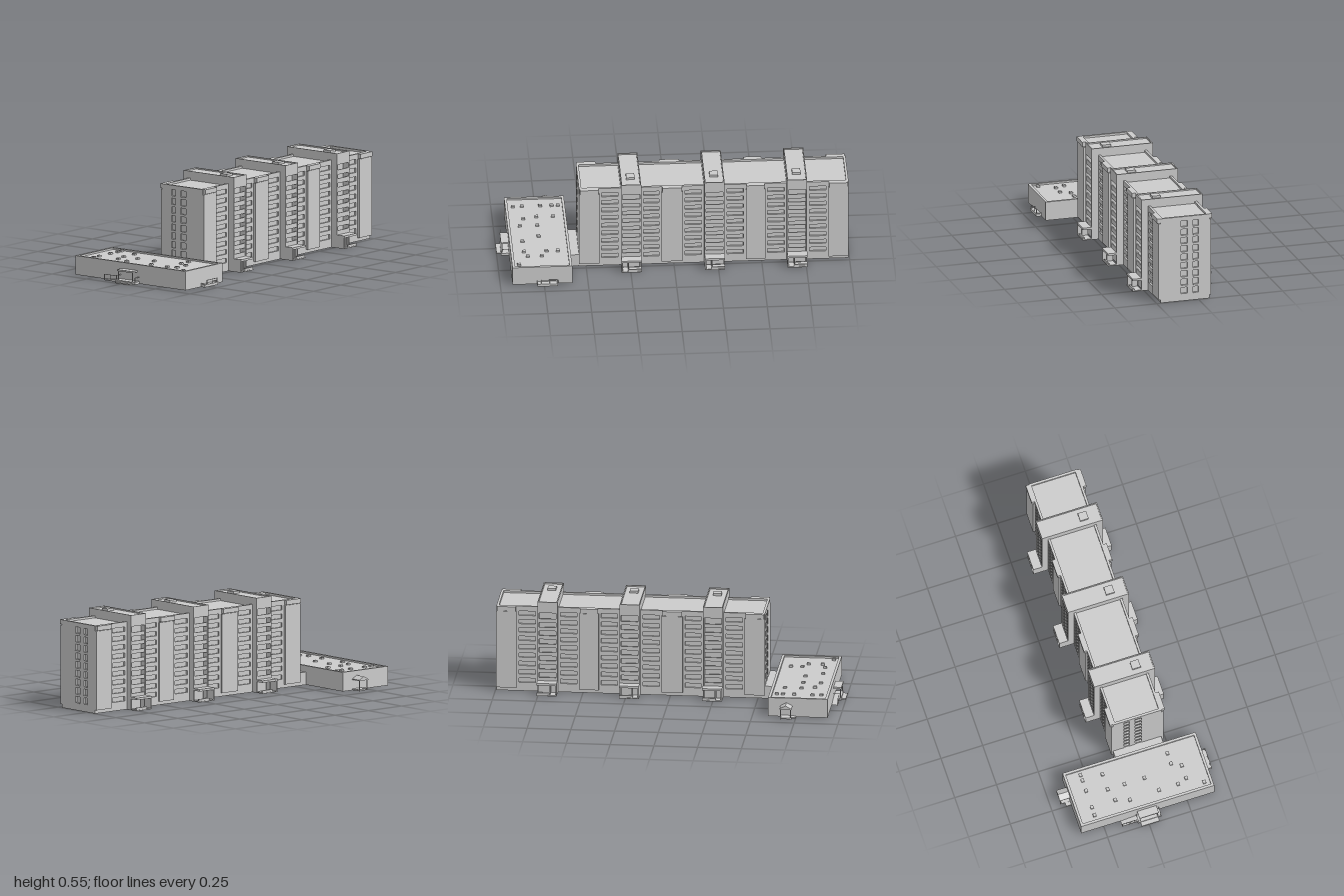
import * as THREE from 'three';

const mat = new THREE.MeshStandardMaterial({ color: 0xcccccc, side: THREE.DoubleSide, flatShading: true });
const FLOORS = 9, STEP = 0.05;

function add(parent, name, geo) {
  const m = new THREE.Mesh(geo, mat);
  m.name = name;
  parent.add(m);
  return m;
}

// Box given by its limits on each axis
function box(parent, name, x0, x1, y0, y1, z0, z1) {
  const m = add(parent, name, new THREE.BoxGeometry(x1 - x0, y1 - y0, z1 - z0));
  m.position.set((x0 + x1) / 2, (y0 + y1) / 2, (z0 + z1) / 2);
  return m;
}

function rect(target, x0, x1, y0, y1) {
  target.moveTo(x0, y0).lineTo(x1, y0).lineTo(x1, y1).lineTo(x0, y1).closePath();
  return target;
}

// Upright panel with rectangular openings, extruded along z
function panelGeo(x0, x1, y0, y1, holes, depth) {
  const s = rect(new THREE.Shape(), x0, x1, y0, y1);
  for (const h of holes) s.holes.push(rect(new THREE.Path(), ...h));
  return new THREE.ExtrudeGeometry(s, { depth, bevelEnabled: false });
}

// Raised rim around a flat roof
function parapet(parent, name, x0, x1, z0, z1, y0, y1, t) {
  const g = panelGeo(x0, x1, -z1, -z0, [[x0 + t, x1 - t, -z1 + t, -z0 - t]], y1 - y0);
  g.rotateX(-Math.PI / 2);
  add(parent, name, g).position.y = y0;
}

function windowColumn(x0, x1, y0, h) {
  return Array.from({ length: FLOORS }, (_, i) => [x0, x1, y0 + i * STEP, y0 + i * STEP + h]);
}

// Shared door porch: portal frame, dividing wall, slab and step
function entrance(parent, cx, zWall, dir) {
  const g = new THREE.Group();
  g.name = 'entrance';
  g.position.set(cx, 0, zWall);
  g.scale.z = dir;
  parent.add(g);
  box(g, 'entranceCanopy', -0.057, 0.057, 0.063, 0.075, 0, 0.052);
  box(g, 'entranceStep', -0.057, 0.057, 0, 0.006, 0, 0.052);
  box(g, 'entranceWall', -0.057, -0.05, 0, 0.065, 0, 0.05);
  box(g, 'entranceDivider', -0.02, -0.014, 0, 0.065, 0, 0.035);
  box(g, 'entranceParapet', -0.02, 0.057, 0, 0.018, 0.042, 0.05);
}

// Projecting bay with stacked balconies, running across the roof
function tower(parent, cx) {
  const g = new THREE.Group();
  g.name = 'balconyTower';
  parent.add(g);
  const x0 = cx - 0.057, x1 = cx + 0.057;
  box(g, 'towerRoof', x0, x1, 0.48, 0.537, -0.1, 0.265);
  parapet(g, 'towerParapet', x0, x1, -0.1, 0.265, 0.537, 0.545, 0.006);
  box(g, 'roofHatch', cx - 0.024, cx + 0.024, 0.53, 0.55, 0.14, 0.19);
  for (const [wall, dir, railH] of [[0.223, 1, 0.027], [-0.063, -1, 0.022]]) {
    const span = (a, b) => [wall + dir * a, wall + dir * b].sort((p, q) => p - q);
    const depth = dir > 0 ? 0.042 : 0.037;
    for (const x of [x0, x1 - 0.008]) box(g, 'towerFin', x, x + 0.008, 0, 0.485, ...span(0, depth));
    box(g, 'lobbyWall', x0, x1, 0, 0.07, ...span(0, depth - 0.012));
    for (let i = 1; i < FLOORS; i++) {
      const y = 0.022 + i * STEP;
      box(g, 'balconySlab', x0, x1, y, y + 0.006, ...span(0, depth - 0.004));
      box(g, 'balconyRail', x0, x1, y, y + railH, ...span(depth - 0.009, depth - 0.003));
    }
    entrance(g, cx, wall + dir * depth, dir);
  }
}

function mainBlock() {
  const g = new THREE.Group();
  g.name = 'apartmentBlock';
  const X0 = -0.54, X1 = 0.995;
  box(g, 'core', X0 + 0.01, X1 - 0.01, 0, 0.493, -0.055, 0.215);
  parapet(g, 'roofParapet', X0, X1, -0.065, 0.225, 0.49, 0.505, 0.014);

  // Long walls with recessed window bands
  const bays = [[-0.425, -0.303], [-0.188, -0.07], [0.05, 0.172], [0.288, 0.41], [0.52, 0.643], [0.758, 0.88]];
  const holes = bays.flatMap(([a, b]) => windowColumn(a + 0.014, b - 0.014, 0.05, 0.026));
  for (const z of [0.215, -0.065])
    add(g, 'longWall', panelGeo(X0, X1, 0, 0.495, holes, 0.01)).position.z = z;

  // End walls with two window columns
  const endHoles = [...windowColumn(0.065, 0.105, 0.044, 0.036), ...windowColumn(0, 0.032, 0.044, 0.036)];
  for (const x of [X0, X1 - 0.01]) {
    const geo = panelGeo(-0.06, 0.22, 0, 0.495, endHoles, 0.01).rotateY(-Math.PI / 2);
    add(g, 'endWall', geo).position.x = x + 0.01;
  }
  // Slim sills on the outer end wall
  for (let i = 0; i < FLOORS; i++)
    for (const [a, b] of [[0.065, 0.105], [0, 0.032]])
      box(g, 'endSill', X1 - 0.008, 1, 0.041 + i * STEP, 0.045 + i * STEP, a, b);

  // Blank pilasters with overhanging caps
  for (const [a, b] of [[-0.54, -0.425], [-0.07, 0.05], [0.41, 0.52], [0.88, 0.995]]) {
    box(g, 'pilasterFront', a, b, 0.02, 0.475, 0.22, 0.238);
    box(g, 'pilasterBack', a, b, 0.02, 0.475, -0.076, -0.06);
    box(g, 'pilasterCapFront', a + 0.004, b - 0.004, 0.478, 0.505, 0.22, 0.245);
    box(g, 'pilasterCapBack', a + 0.004, b - 0.004, 0.478, 0.505, -0.083, -0.06);
  }
  for (const cx of [-0.245, 0.23, 0.7]) tower(g, cx);
  return g;
}

function annex() {
  const g = new THREE.Group();
  g.name = 'annex';
  box(g, 'annexBody', -0.93, -0.59, 0, 0.1, -0.385, 0.412);
  parapet(g, 'annexParapet', -0.93, -0.59, -0.385, 0.412, 0.1, 0.11, 0.015);
  box(g, 'connector', -0.592, -0.535, 0, 0.073, -0.065, 0.222);

  // Roof vents
  const vents = [[-0.885, -0.29], [-0.835, -0.29], [-0.73, -0.29], [-0.665, -0.29], [-0.63, -0.29], [-0.76, -0.17],
    [-0.665, -0.17], [-0.835, -0.15], [-0.86, -0.07], [-0.76, -0.07], [-0.76, 0.05], [-0.855, 0.105],
    [-0.855, 0.22], [-0.725, 0.22], [-0.66, 0.22], [-0.835, 0.275], [-0.755, 0.275], [-0.89, 0.365]];
  for (const [x, z] of vents) box(g, 'roofVent', x - 0.01, x + 0.01, 0.098, 0.11, z - 0.009, z + 0.009);

  // Front landing with railing
  box(g, 'frontLanding', -0.79, -0.672, 0, 0.015, 0.41, 0.443);
  box(g, 'frontRail', -0.77, -0.675, 0.037, 0.04, 0.438, 0.441);
  for (const x of [-0.77, -0.722, -0.678]) box(g, 'frontRailPost', x, x + 0.003, 0.014, 0.038, 0.438, 0.441);
  for (const x of [-0.79, -0.672]) box(g, 'frontSideRail', x, x + 0.003, 0.018, 0.021, 0.41, 0.443);

  // Back door with gabled canopy on posts
  const gable = new THREE.Shape([[-0.034, 0.06], [0.034, 0.06], [0.034, 0.065], [0, 0.083], [-0.034, 0.065]]
    .map(p => new THREE.Vector2(...p)));
  add(g, 'gabledCanopy', new THREE.ExtrudeGeometry(gable, { depth: 0.065, bevelEnabled: false }))
    .position.set(-0.695, 0, -0.447);
  box(g, 'backStep', -0.728, -0.662, 0, 0.008, -0.435, -0.38);
  box(g, 'backSideStep', -0.75, -0.728, 0, 0.006, -0.415, -0.38);
  for (const x of [-0.726, -0.668]) box(g, 'canopyPost', x, x + 0.004, 0, 0.062, -0.443, -0.439);

  // Side porch with steps, ramp, canopy and railings
  box(g, 'sidePlatform', -0.975, -0.925, 0, 0.014, -0.06, 0.08);
  box(g, 'sideStep', -1, -0.97, 0, 0.007, -0.045, 0.062);
  const ramp = new THREE.Shape([[0, 0], [0.09, 0], [0, 0.014]].map(p => new THREE.Vector2(...p)));
  const rampGeo = new THREE.ExtrudeGeometry(ramp, { depth: 0.035, bevelEnabled: false }).rotateY(Math.PI / 2);
  add(g, 'sideRamp', rampGeo).position.set(-0.965, 0, -0.06);
  box(g, 'sideCanopy', -0.975, -0.925, 0.066, 0.075, -0.05, 0.065);
  for (const z of [-0.046, 0.058]) box(g, 'sidePost', -0.971, -0.967, 0, 0.068, z, z + 0.004);
  for (const z of [-0.058, 0.076]) {
    box(g, 'sideRail', -0.972, -0.93, 0.037, 0.04, z, z + 0.003);
    box(g, 'sideRailPost', -0.972, -0.969, 0.012, 0.038, z, z + 0.003);
  }
  box(g, 'rampRail', -0.965, -0.962, 0.033, 0.036, -0.15, -0.06);
  for (const z of [-0.15, -0.105]) box(g, 'rampRailPost', -0.965, -0.962, 0, 0.034, z, z + 0.003);
  return g;
}

export function createModel() {
  const model = new THREE.Group();
  model.name = 'apartmentBuilding';
  model.add(mainBlock(), annex());
  return model;
}
